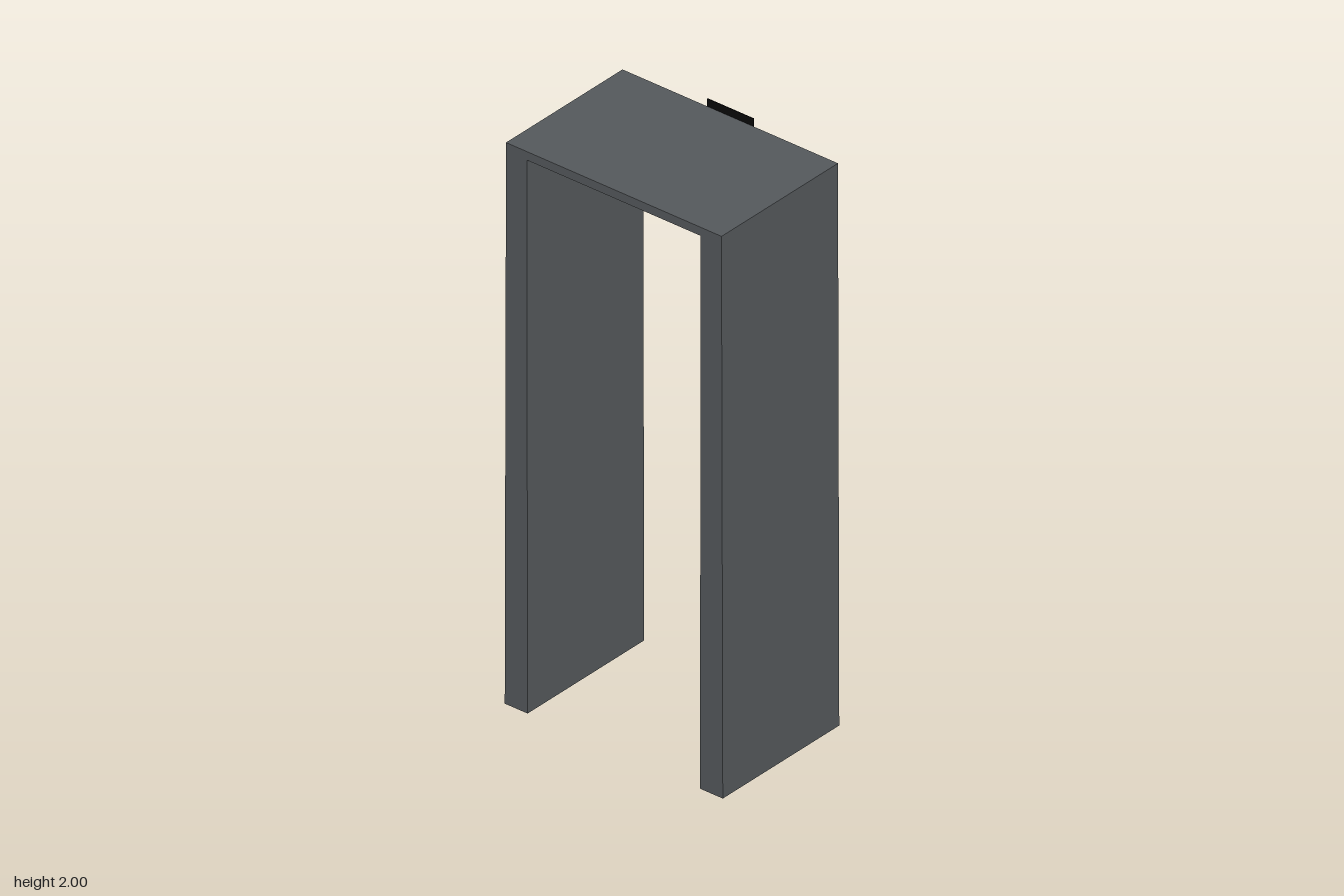
import * as THREE from 'three';

export function createModel() {
  const model = new THREE.Group();
  const frameGrey = new THREE.MeshStandardMaterial({ name: 'frameGrey', color: 0x55595c });
  const plateBlack = new THREE.MeshStandardMaterial({ name: 'plateBlack', color: 0x0a0a0a });

  const backZ = -0.271, frontZ = 0.274;

  // Doorway frame: two very slightly splayed legs joined by a thin lintel
  const half = [[0.339, 1.943], [0.336, 0], [0.425, 0], [0.42, 1.973]];
  const mirrored = half.map(([x, y]) => [-x, y]).reverse();
  const profile = new THREE.Shape([...half, ...mirrored].map(([x, y]) => new THREE.Vector2(x, y)));
  const frameGeometry = new THREE.ExtrudeGeometry(profile, { depth: frontZ - backZ, bevelEnabled: false });
  const frame = new THREE.Mesh(frameGeometry, frameGrey);
  frame.name = 'doorFrame';
  frame.position.z = backZ;
  model.add(frame);

  // Thin plate on the back of the lintel, standing above and below it
  const plate = new THREE.Mesh(new THREE.BoxGeometry(0.18, 0.09, 0.003), plateBlack);
  plate.name = 'backPlate';
  plate.position.set(0, 1.955, backZ - 0.0015);
  model.add(plate);

  return model;
}
